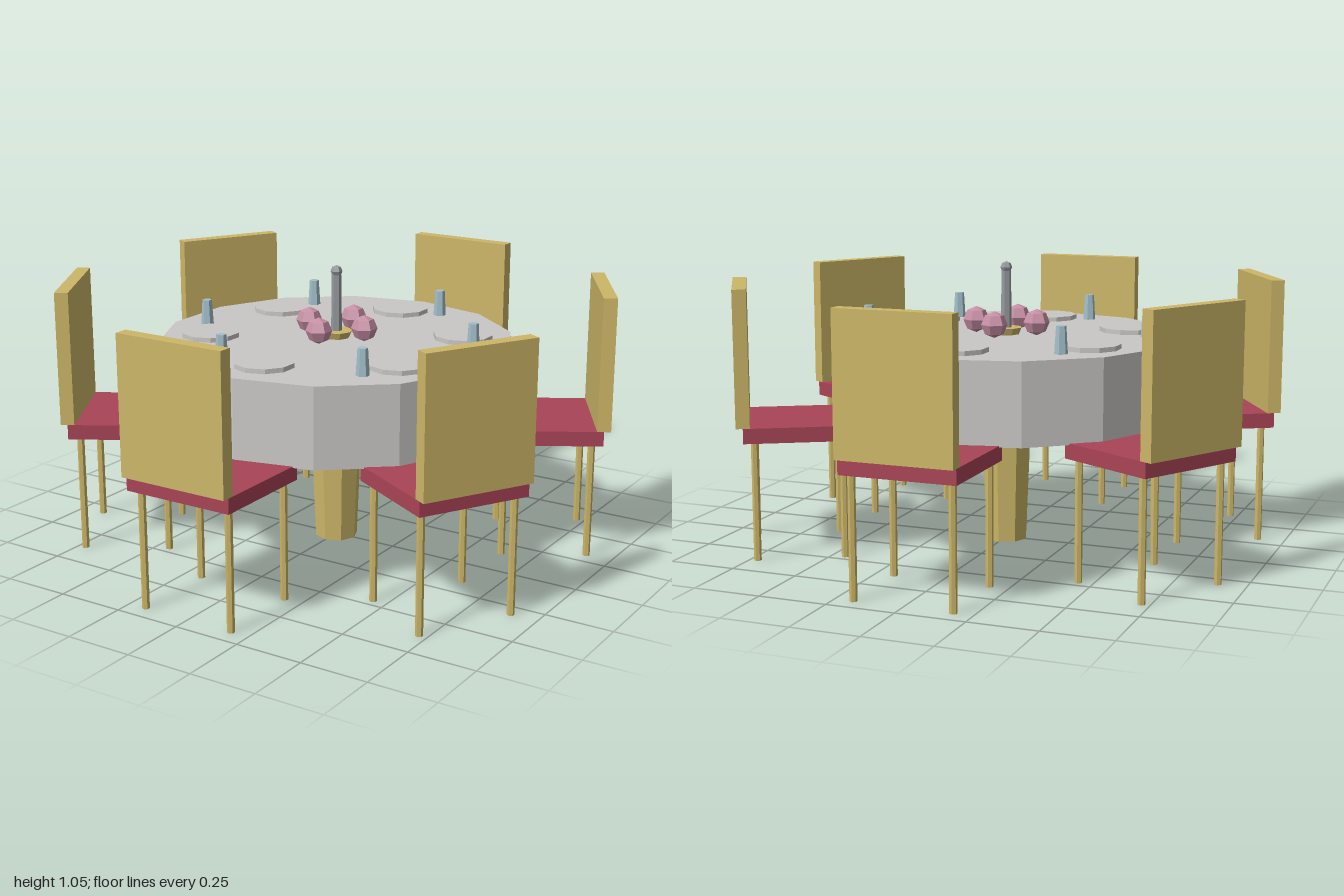
import * as THREE from 'three';

const paint = (name, color) => {
  const m = new THREE.MeshStandardMaterial({ color, flatShading: true });
  m.name = name;
  return m;
};

export function createModel() {
  const gold = paint('gold', 0xcdb768);
  const red = paint('red upholstery', 0xa94456);
  const linen = paint('linen', 0xcac8c6);
  const pink = paint('pink', 0xc78fa5);
  const glass = paint('pale blue glass', 0xa3c0ca);
  const steel = paint('steel', 0x969a9e);

  const model = new THREE.Group();
  model.name = 'diningSet';

  const add = (parent, name, geometry, material, x, y, z) => {
    const mesh = new THREE.Mesh(geometry, material);
    mesh.name = name;
    mesh.position.set(x, y, z);
    parent.add(mesh);
    return mesh;
  };
  // Cylinder given by its lower and upper heights
  const post = (parent, name, material, rTop, rBottom, y0, y1, sides, x = 0, z = 0) =>
    add(parent, name, new THREE.CylinderGeometry(rTop, rBottom, y1 - y0, sides), material, x, (y0 + y1) / 2, z);
  // Faceted ball with a corner towards the front
  const ball = (parent, name, material, r, x, y, z) =>
    add(parent, name, new THREE.SphereGeometry(r, 6, 4).rotateY(Math.PI / 2), material, x, y, z);

  // Table with draped cloth
  post(model, 'tablePedestal', gold, 0.1, 0.08, 0, 0.487, 8);
  post(model, 'tablecloth', linen, 0.655, 0.655, 0.485, 0.78, 14);

  // Centrepiece: dish, pole with knob, four flowers
  post(model, 'centreDish', gold, 0.06, 0.05, 0.78, 0.805, 8);
  post(model, 'centrePole', steel, 0.018, 0.02, 0.79, 1.015, 6);
  ball(model, 'poleKnob', steel, 0.022, 0, 1.028, 0);
  for (let i = 0; i < 4; i++) {
    const a = (i * Math.PI) / 2;
    ball(model, 'flower', pink, 0.049, 0.12 * Math.sin(a), 0.829, 0.12 * Math.cos(a));
  }

  // Six places, each with a chair, a plate and a glass
  for (let i = 0; i < 6; i++) {
    const a = (i * Math.PI) / 3;
    const chair = new THREE.Group();
    chair.name = 'chair';
    chair.rotation.y = a;
    add(chair, 'seat', new THREE.BoxGeometry(0.42, 0.055, 0.395), red, 0, 0.4625, 0.7775);
    add(chair, 'backrest', new THREE.BoxGeometry(0.42, 0.495, 0.05), gold, 0, 0.7375, 0.975);
    for (const x of [-0.18, 0.18]) {
      for (const z of [0.62, 0.935]) post(chair, 'chairLeg', gold, 0.0135, 0.0135, 0, 0.436, 6, x, z);
    }
    model.add(chair);

    post(model, 'plate', linen, 0.11, 0.11, 0.78, 0.797, 10, 0.467 * Math.sin(a), 0.467 * Math.cos(a));
    const b = a - 0.31;
    post(model, 'drinkingGlass', glass, 0.018, 0.024, 0.78, 0.877, 6, 0.523 * Math.sin(b), 0.523 * Math.cos(b));
  }
  return model;
}
